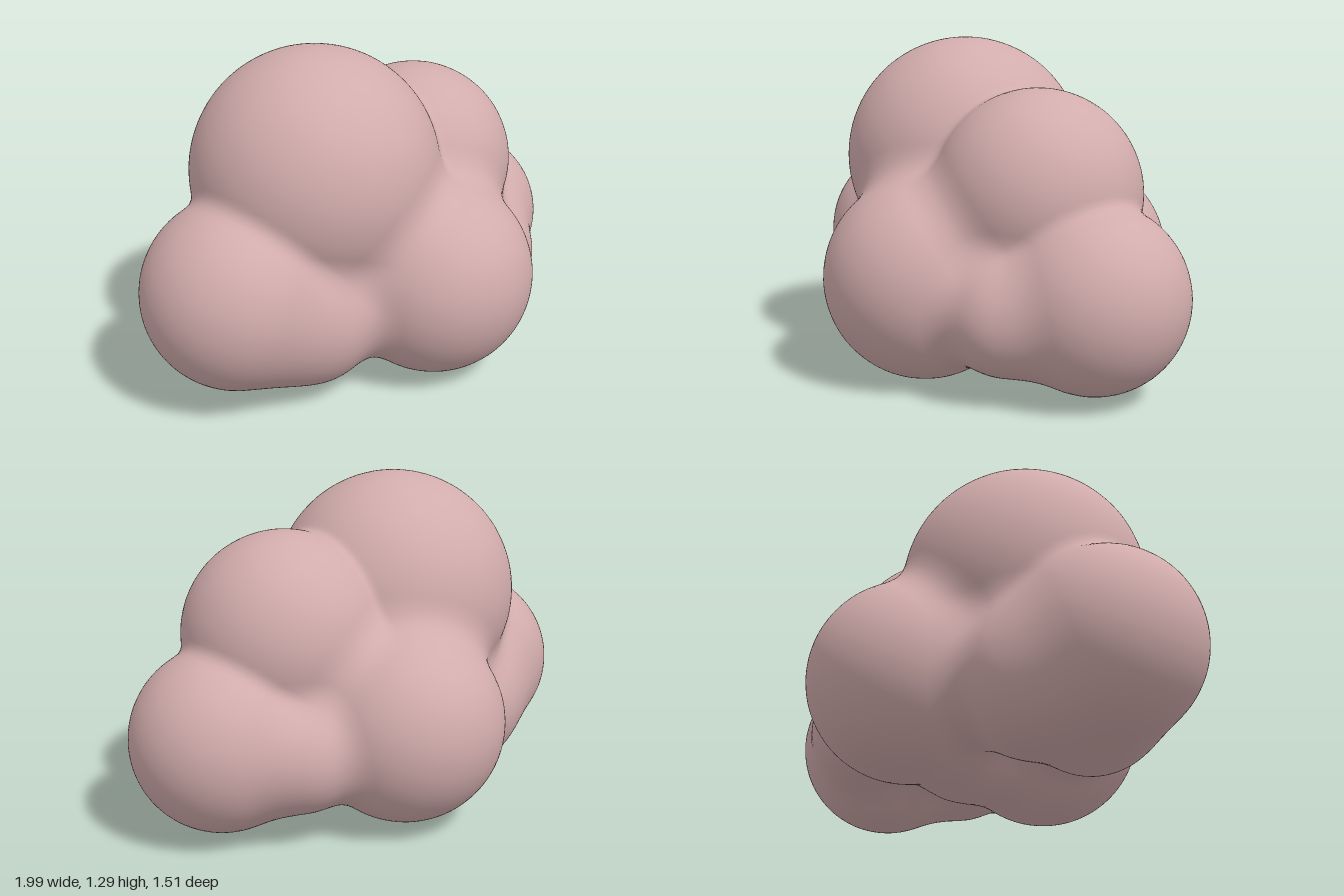
import * as THREE from 'three';
import { mergeVertices } from 'three/addons/utils/BufferGeometryUtils.js';

// Puffs of the cloud: x, y, z, radius, softness of the join to the puffs before
const PUFFS = [
  [-0.22, 0.81, -0.01, 0.485, 0.03],  // crown
  [0.32, 0.72, 0.02, 0.4, 0.03],      // shoulder
  [-0.63, 0.435, -0.01, 0.37, 0.05],  // left end in front view
  [0.635, 0.375, 0, 0.355, 0.04],     // right end in front view
  [-0.42, 0.33, 0.13, 0.29, 0.1],     // filler by the left end, front
  [-0.42, 0.33, -0.16, 0.3, 0.1],     // filler by the left end, back
  [0.12, 0.3, 0, 0.27, 0.1],          // filler underneath
  [0.06, 0.395, 0.36, 0.393, 0.12],   // front
  [0.05, 0.4, -0.37, 0.385, 0.12],    // back
  [0.47, 0.32, 0.27, 0.23, 0.1],      // small puff, front
  [0.46, 0.34, -0.25, 0.22, 0.1],     // small puff, back
];
const CORE = new THREE.Vector3(0, 0.45, 0);

// Signed distance to the softly joined puffs
function distance(p) {
  let d = Infinity;
  for (const [x, y, z, r, soft] of PUFFS) {
    const e = Math.hypot(p.x - x, p.y - y, p.z - z) - r;
    const h = Math.max(soft - Math.abs(d - e), 0) / soft;
    d = Math.min(d, e) - h * h * soft * 0.25;
  }
  return d;
}

// Surface direction from the slope of the distance
function slope(p) {
  const s = 0.004;
  const n = ['x', 'y', 'z'].map((axis) => {
    const a = p.clone(), b = p.clone();
    a[axis] += s;
    b[axis] -= s;
    return distance(a) - distance(b);
  });
  return new THREE.Vector3(...n).normalize();
}

// A fine ball shrunk inwards along its rays until it meets the puffs
function cloudGeometry() {
  const ball = new THREE.IcosahedronGeometry(1, 48);
  ball.deleteAttribute('normal');
  ball.deleteAttribute('uv');
  const geometry = mergeVertices(ball, 1e-5);
  const position = geometry.attributes.position;
  const normals = new Float32Array(position.count * 3);
  const ray = new THREE.Vector3(), p = new THREE.Vector3();
  for (let i = 0; i < position.count; i++) {
    ray.fromBufferAttribute(position, i).normalize();
    let reach = 1.4;
    for (let step = 0; step < 100; step++) {
      p.copy(CORE).addScaledVector(ray, reach);
      const d = distance(p);
      if (d < 0.0005) break;
      reach -= d;
    }
    position.setXYZ(i, p.x, p.y, p.z);
    slope(p).toArray(normals, i * 3);
  }
  geometry.setAttribute('normal', new THREE.BufferAttribute(normals, 3));

  // Stand on the ground
  geometry.computeBoundingBox();
  geometry.translate(0, -geometry.boundingBox.min.y, 0);
  return geometry;
}

export function createModel() {
  const group = new THREE.Group();
  group.name = 'cloud';
  const dustyPink = new THREE.MeshStandardMaterial({ color: 0xd2acac });
  dustyPink.name = 'dusty pink';
  const body = new THREE.Mesh(cloudGeometry(), dustyPink);
  body.name = 'cloudBody';
  group.add(body);
  return group;
}
